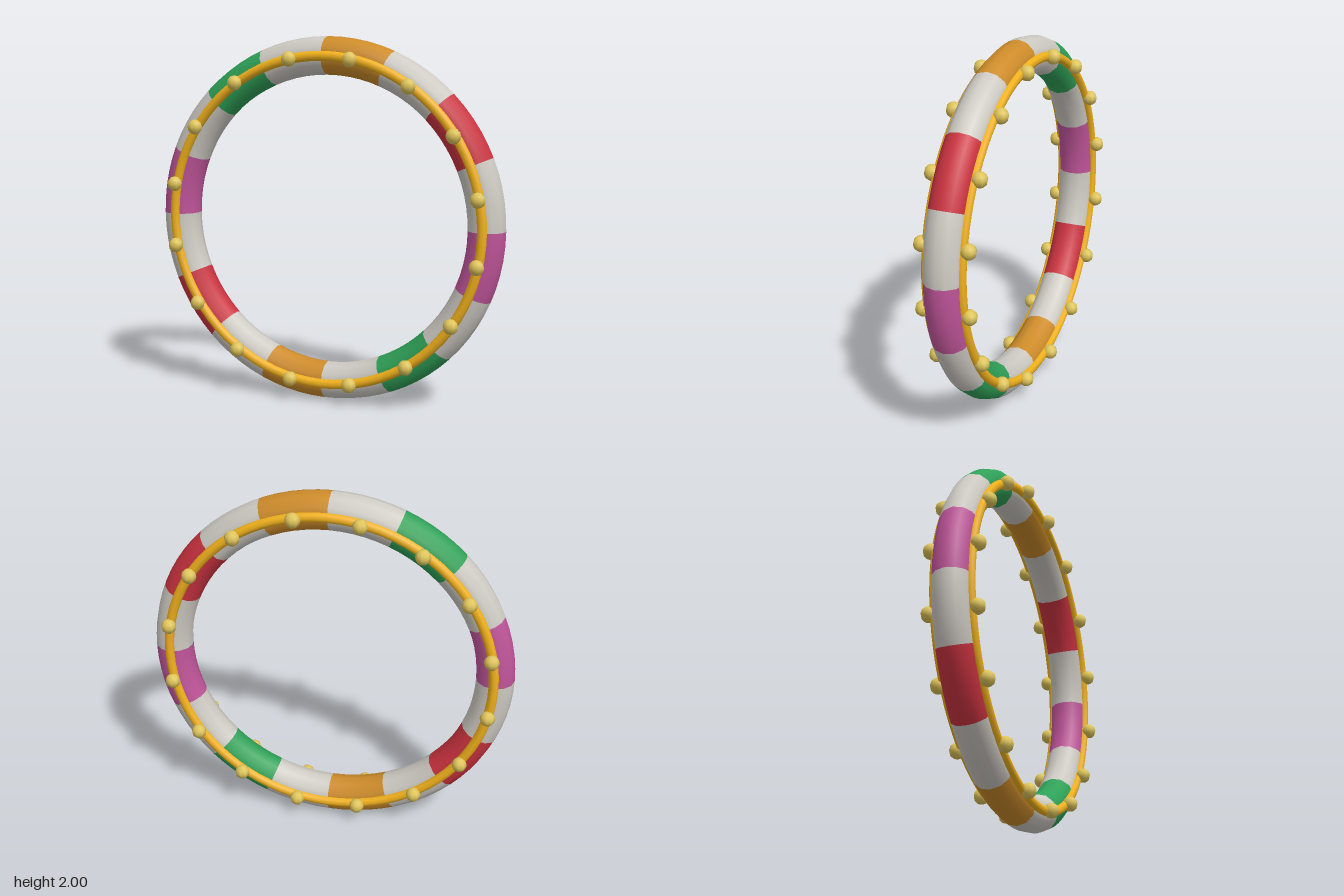
import * as THREE from 'three';

const SECTORS = 16;
const STEP = (Math.PI * 2) / SECTORS;
const RING_R = 0.897;
const TUBE_R = 0.103;

const mat = (color) => new THREE.MeshStandardMaterial({ color });

export function createModel() {
  const model = new THREE.Group();
  model.name = 'stripedHoop';

  // Hoop: plain sectors alternating with four repeating colours
  const plain = mat(0xcfcbc4);
  const stripes = [0xcc3340, 0xce8c2a, 0x2fa258, 0xc0559a].map(mat);
  const sectorGeo = new THREE.TorusGeometry(RING_R, TUBE_R, 12, 5, STEP);
  const hoop = new THREE.Group();
  hoop.name = 'hoop';
  for (let i = 0; i < SECTORS; i++) {
    const striped = i % 2 === 1;
    const sector = new THREE.Mesh(sectorGeo, striped ? stripes[((i - 1) / 2) % 4] : plain);
    sector.name = striped ? 'colouredSector' : 'plainSector';
    sector.rotation.z = i * STEP;
    hoop.add(sector);
  }
  model.add(hoop);

  // Gold trim ring and beads on the front and back
  const gold = mat(0xf2b21c);
  const brass = mat(0xdfc45a);
  const trimGeo = new THREE.TorusGeometry(RING_R, 0.027, 8, 80);
  const beadGeo = new THREE.SphereGeometry(0.042, 8, 6);
  for (const side of [1, -1]) {
    const face = new THREE.Group();
    face.name = side > 0 ? 'frontTrim' : 'backTrim';
    const trim = new THREE.Mesh(trimGeo, gold);
    trim.name = 'trimRing';
    trim.position.z = side * 0.095;
    face.add(trim);
    for (let i = 0; i < SECTORS; i++) {
      const a = (i + 0.5) * STEP;
      const bead = new THREE.Mesh(beadGeo, brass);
      bead.name = 'bead';
      bead.position.set(Math.cos(a) * RING_R, Math.sin(a) * RING_R, side * 0.128);
      face.add(bead);
    }
    model.add(face);
  }

  // Stand the hoop on the ground
  model.children.forEach((part) => { part.position.y = 1; });
  return model;
}
